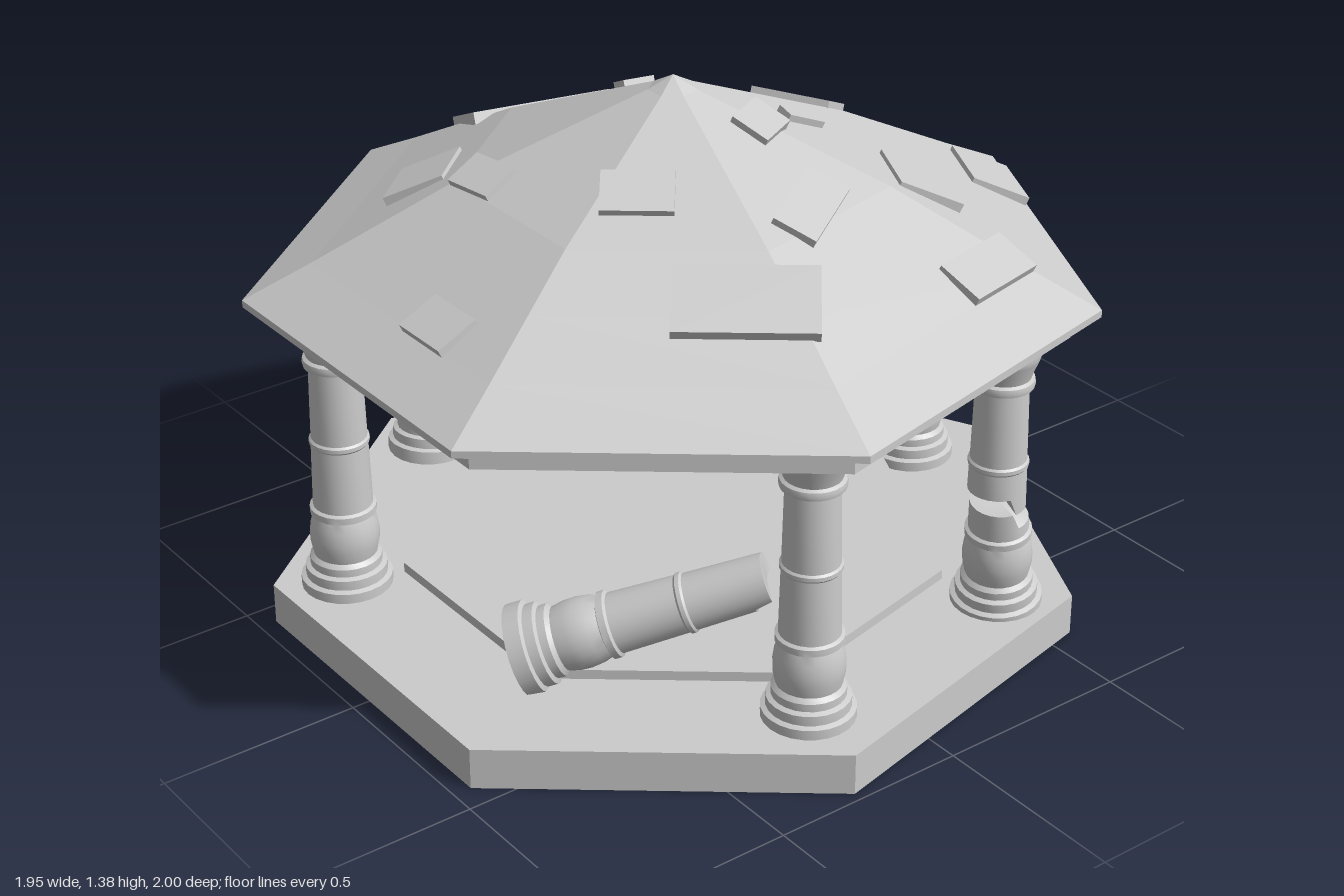
import * as THREE from 'three';
import { toCreasedNormals } from 'three/addons/utils/BufferGeometryUtils.js';

const CX = -0.052; // axis of the heptagon
const flat = new THREE.MeshStandardMaterial({ color: 0xcccccc, flatShading: true, side: THREE.DoubleSide });
const smooth = new THREE.MeshStandardMaterial({ color: 0xcccccc, side: THREE.DoubleSide });
const vec = (pts) => pts.map(([r, y]) => new THREE.Vector2(r, y));

// Seven-sided part with a corner on +x
function heptagon(name, pts) {
  const mesh = new THREE.Mesh(new THREE.LatheGeometry(vec(pts), 7, Math.PI / 2), flat);
  mesh.name = name;
  mesh.position.x = CX;
  return mesh;
}

// Column profile: radius, height
const BOTTOM = 0.09, TOP = 0.815;
const PROFILE = [
  [0, 0.09], [0.112, 0.09], [0.112, 0.13], [0.1, 0.135], [0.1, 0.16], [0.088, 0.165], [0.088, 0.185],
  [0.078, 0.195], [0.084, 0.225], [0.085, 0.25], [0.081, 0.28], [0.073, 0.305],
  [0.081, 0.308], [0.081, 0.325], [0.073, 0.33], [0.069, 0.495], [0.073, 0.5], [0.073, 0.51], [0.068, 0.515],
  [0.064, 0.705], [0.076, 0.71], [0.078, 0.72], [0.076, 0.73], [0.068, 0.735], [0.074, 0.755],
  [0.086, 0.785], [0.089, 0.795], [0.089, 0.815], [0, 0.815],
];

function radiusAt(y) {
  const i = PROFILE.findIndex((p, k) => k > 1 && p[1] >= y);
  const [a, b] = [PROFILE[i - 1], PROFILE[i]];
  return a[0] + (b[0] - a[0]) * (y - a[1]) / (b[1] - a[1]);
}

// Column between two heights, with a stepped break wherever it is cut
function column(name, from = BOTTOM, to = TOP) {
  let pts = PROFILE.filter(([, y]) => y >= from && y <= to);
  if (from > BOTTOM) pts = [[0, from], [radiusAt(from), from], ...pts];
  if (to < TOP) pts = [...pts, [radiusAt(to), to], [0, to]];
  const geo = new THREE.LatheGeometry(vec(pts), 24);
  const pos = geo.attributes.position;
  for (let i = 0; i < pos.count; i++) {
    const y = pos.getY(i), a = Math.atan2(pos.getZ(i), pos.getX(i));
    const cut = (from > BOTTOM && Math.abs(y - from) < 1e-4) || (to < TOP && Math.abs(y - to) < 1e-4);
    if (cut && Math.hypot(pos.getX(i), pos.getZ(i)) > 0.01) pos.setY(i, y + (Math.cos(a - 0.5) > 0.3 ? -0.04 : 0.005));
  }
  const mesh = new THREE.Mesh(toCreasedNormals(geo, 0.6), smooth);
  mesh.name = name;
  return mesh;
}

// Roof profile from eave to peak
const ROOF = [[0.957, 0.87], [1.026, 0.872], [1.026, 0.89], [0.86, 0.972], [0.69, 1.06], [0.52, 1.148], [0.06, 1.342], [0, 1.375]];
function roofHeight(r) {
  for (let i = 3; i < ROOF.length; i++) {
    const [a, b] = [ROOF[i - 1], ROOF[i]];
    if (r >= b[0]) return a[1] + (b[1] - a[1]) * (r - a[0]) / (b[0] - a[0]);
  }
  return 1.375;
}

// Loose slab on the nearest roof face, its lower edge lifted
function roofTile([x, z, w, d, twist]) {
  const step = Math.PI * 2 / 7;
  const mid = (Math.floor(Math.atan2(z, x - CX) / step) + 0.5) * step;
  const apothem = (x - CX) * Math.cos(mid) + z * Math.sin(mid);
  const y = roofHeight(apothem / Math.cos(step / 2));
  const tile = new THREE.Mesh(new THREE.BoxGeometry(w, 0.03, d), flat);
  tile.name = 'roofTile';
  tile.position.set(x, y + 0.002, z);
  tile.rotation.order = 'YXZ';
  tile.rotation.set(0.44, Math.PI / 2 - mid, 0);
  tile.rotateY(twist);
  return tile;
}

export function createModel() {
  const group = new THREE.Group();

  // Open-bottomed floor with a raised middle, beam ring and roof
  group.add(heptagon('floor', [[1.002, 0], [1.002, 0.105], [0.68, 0.105], [0.68, 0.13], [0, 0.13]]));
  group.add(heptagon('beamRing', [[0.68, 0.81], [0.957, 0.81], [0.957, 0.872], [0.68, 0.872], [0.68, 0.81]]));
  group.add(heptagon('roof', ROOF));

  // Loose tiles: x, z, width, depth, twist
  const tiles = [
    [-0.04, -0.61, 0.36, 0.17, 0], [-0.48, -0.42, 0.19, 0.16, 0.1], [-0.48, -0.16, 0.14, 0.1, 0.1],
    [-0.79, 0.12, 0.16, 0.11, 0], [-0.31, 0.21, 0.17, 0.12, 0], [-0.28, 0.57, 0.33, 0.19, 0],
    [0.02, 0.42, 0.23, 0.11, 0.35], [0.07, 0.17, 0.11, 0.1, 0.2], [0.24, 0.11, 0.11, 0.05, -1.2],
    [0.43, 0.33, 0.19, 0.17, 0], [0.36, 0.65, 0.23, 0.12, 0], [0.81, 0.16, 0.2, 0.16, 0],
    [0.57, -0.42, 0.21, 0.11, 0], [0.41, -0.11, 0.21, 0.1, 0], [0.07, -0.32, 0.08, 0.07, 0],
  ];
  tiles.forEach((t) => group.add(roofTile(t)));

  // Columns at the corners; two are broken, one has fallen
  for (let i = 0; i < 7; i++) {
    const a = i * Math.PI * 2 / 7;
    const x = -0.075 + 0.8 * Math.cos(a), z = 0.8 * Math.sin(a);
    if (i === 3) continue;
    if (i === 1 || i === 5) {
      const upper = column('brokenColumnTop', 0.425);
      upper.position.set(i === 1 ? 0.395 : x, 0, i === 1 ? 0.685 : z);
      const lower = column('brokenColumnBase', BOTTOM, 0.4);
      lower.position.set(i === 1 ? 0.43 : x - 0.02, 0, i === 1 ? 0.665 : z - 0.01);
      lower.rotation.set(i === 1 ? 0.08 : -0.05, 0, i === 1 ? 0.09 : -0.08);
      group.add(upper, lower);
    } else {
      const whole = column('column');
      whole.position.set(x, 0, z);
      group.add(whole);
    }
  }

  // Fallen column leaning on its neighbour
  const start = new THREE.Vector3(-0.69, 0.17, 0.25);
  const dir = new THREE.Vector3(0.51, 0.24, 0.42).normalize();
  const fallen = column('fallenColumn', BOTTOM, 0.7);
  fallen.quaternion.setFromUnitVectors(new THREE.Vector3(0, 1, 0), dir);
  fallen.position.copy(start).addScaledVector(dir, -BOTTOM);
  group.add(fallen);

  return group;
}
